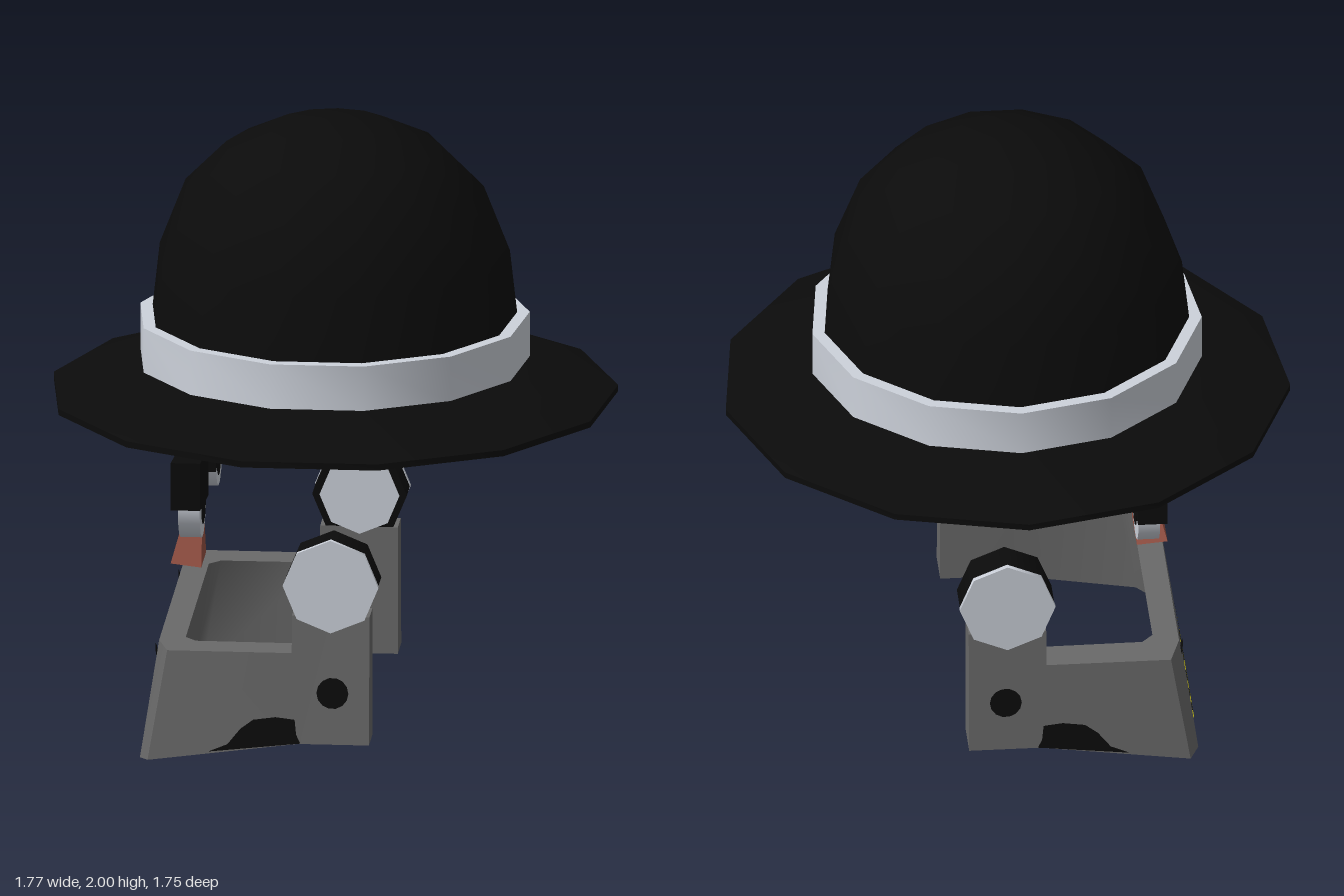
import * as THREE from 'three';
import { toCreasedNormals } from 'three/addons/utils/BufferGeometryUtils.js';

const mat = (name, color) => {
  const m = new THREE.MeshStandardMaterial({ color, side: THREE.DoubleSide });
  m.name = name;
  return m;
};

// Skin a list of equal closed cross-sections and cap both ends
function loft(sections, crease) {
  const pos = [];
  const tri = (...pts) => pts.forEach((p) => pos.push(...p));
  const n = sections[0].length;
  for (let i = 0; i < sections.length - 1; i++) {
    for (let j = 0; j < n; j++) {
      const k = (j + 1) % n;
      const a = sections[i][j], b = sections[i][k];
      const c = sections[i + 1][k], d = sections[i + 1][j];
      tri(a, d, c);
      tri(a, c, b);
    }
  }
  const s = sections[0], e = sections[sections.length - 1];
  for (let j = 1; j < n - 1; j++) {
    tri(s[0], s[j], s[j + 1]);
    tri(e[0], e[j + 1], e[j]);
  }
  const g = new THREE.BufferGeometry();
  g.setAttribute('position', new THREE.Float32BufferAttribute(pos, 3));
  return toCreasedNormals(g, crease);
}

// Thirteen-sided turned part
function turned(profile, crease) {
  const pts = profile.map(([r, y]) => new THREE.Vector2(r, y));
  return toCreasedNormals(new THREE.LatheGeometry(pts, 13, Math.PI), crease);
}

const shape = (pts) => new THREE.Shape(pts.map(([x, y]) => new THREE.Vector2(x, y)));

export function createModel() {
  const black = mat('black', 0x0b0b0b);
  const white = mat('offWhite', 0xcdd2db);
  const grey = mat('jawGrey', 0x6a6a6a);
  const red = mat('noseRed', 0x9a5446);
  const yellow = mat('stripeYellow', 0xb0a810);

  const model = new THREE.Group();
  const add = (name, geo, material, parent = model) => {
    const m = new THREE.Mesh(geo, material);
    m.name = name;
    parent.add(m);
    return m;
  };

  // Hat: dome, band and sloping brim
  const hat = new THREE.Group();
  hat.name = 'hat';
  model.add(hat);
  add('hatDome', turned([[0.575, 1.355], [0.552, 1.56], [0.47, 1.77], [0.34, 1.9], [0.18, 1.975], [0, 2]], 0.7), black, hat);
  add('hatBand', turned([[0.58, 1.215], [0.614, 1.215], [0.614, 1.36], [0.575, 1.36], [0.575, 1.2]], 0.6), white, hat);
  add('hatBrim', turned([[0.577, 1.2], [0.89, 1.1], [0.89, 1.12], [0.612, 1.217], [0.577, 1.217]], 0.6), black, hat);

  // Jaw: U-shaped bar; each section is outer top, outer bottom, inner bottom, inner top
  const half = [
    [[0.163, 0.54, 0.57], [0.163, 0.13, 0.59], [0.163, 0.13, 0.463], [0.163, 0.54, 0.463]],
    [[-0.08, 0.54, 0.57], [-0.06, 0.13, 0.59], [-0.06, 0.13, 0.463], [-0.08, 0.54, 0.463]],
    [[-0.08, 0.42, 0.576], [-0.06, 0.13, 0.59], [-0.06, 0.13, 0.463], [-0.08, 0.42, 0.463]],
    [[-0.47, 0.42, 0.576], [-0.53, 0.068, 0.593], [-0.45, 0.06, 0.475], [-0.39, 0.42, 0.46]],
    [[-0.505, 0.42, 0.46], [-0.563, 0.045, 0.485], [-0.487, 0.045, 0.455], [-0.425, 0.42, 0.42]],
  ];
  const chin = [[-0.505, 0.42, 0], [-0.57, 0, 0], [-0.49, 0, 0], [-0.425, 0.42, 0]];
  const mirrored = half.map((s) => s.map(([x, y, z]) => [x, y, -z])).reverse();
  add('jaw', loft([...half, chin, ...mirrored], 0.95), grey);

  // Hazard stripes on the chin, wrapping from the front onto the underside
  const frontX = (y) => -0.573 + 0.155 * y;
  const floorY = (z) => Math.abs(z) * 0.093;
  const w = 0.054, lean = 0.02, top = 0.125;
  for (let i = 0; i < 10; i++) {
    const z0 = (i - 5) * w, z1 = z0 + w;
    const strip = (z, zt) => {
      const y = floorY(z);
      return [
        [frontX(top), top, zt],
        [frontX(y), y - 0.002, z],
        [-0.488, y - 0.002, z],
      ];
    };
    const A = strip(z0, z0 + lean), B = strip(z1, z1 + lean);
    const pos = [];
    for (let k = 0; k < 2; k++) {
      pos.push(...A[k], ...A[k + 1], ...B[k + 1], ...A[k], ...B[k + 1], ...B[k]);
    }
    const g = new THREE.BufferGeometry();
    g.setAttribute('position', new THREE.Float32BufferAttribute(pos, 3));
    g.computeVertexNormals();
    add('chinStripe', g, i % 2 ? black : yellow);
  }

  // Nose: tapering wedge
  add('nose', loft([
    [[-0.437, 0.795, 0], [-0.5, 0.566, -0.1], [-0.5, 0.566, 0.1]],
    [[-0.407, 0.78, 0], [-0.405, 0.552, -0.09], [-0.405, 0.552, 0.09]],
  ], 0.1), red);

  for (const s of [1, -1]) {
    const side = s > 0 ? 'left' : 'right';

    // Eye with pupil
    const disc = (name, r, len, x, y, z, m) => {
      const d = add(name, new THREE.CylinderGeometry(r, r, len, 14), m);
      d.rotation.z = Math.PI / 2;
      d.position.set(x, y, z);
    };
    disc(side + 'Eye', 0.123, 0.068, -0.416, 0.837, s * 0.297, white);
    disc(side + 'Pupil', 0.077, 0.073, -0.4165, 0.828, s * 0.282, black);

    // Slanted brow
    const brow = add(side + 'Brow', new THREE.ExtrudeGeometry(
      shape([[s * 0.13, 0.8], [s * 0.447, 0.837], [s * 0.447, 0.99], [s * 0.13, 0.953]]),
      { depth: 0.092, bevelEnabled: false }), black);
    brow.rotation.y = -Math.PI / 2;
    brow.position.x = -0.378;

    // Octagonal hinge: black drum, white cap outside, white plate inside
    const drum = (name, r, len, z, m) => {
      const d = add(name, new THREE.CylinderGeometry(r, r, len, 8), m);
      d.rotation.x = Math.PI / 2;
      d.position.set(0.043, 0.642, s * z);
    };
    drum(side + 'HingeDrum', 0.148, 0.112, 0.521, black);
    drum(side + 'HingeCap', 0.15, 0.018, 0.586, white);
    drum(side + 'HingeInnerPlate', 0.125, 0.006, 0.463, white);

    // Dark patches on the jaw side
    const patch = (name, geo) => {
      const p = add(name, geo, black);
      p.rotation.x = -s * 0.0488;
      p.position.z = s * 0.599;
      return p;
    };
    patch(side + 'JawPatch', new THREE.ShapeGeometry(shape([
      [-0.34, 0.1], [-0.28, 0.125], [-0.24, 0.175], [-0.2, 0.205], [-0.13, 0.215],
      [-0.07, 0.208], [-0.065, 0.16], [-0.052, 0.132], [-0.09, 0.128],
    ])));
    const hole = new THREE.CircleGeometry(0.05, 14);
    hole.translate(0.048, 0.295, 0);
    patch(side + 'JawHole', hole);

    // Small bolt hole at the upper front corner
    const bolt = add(side + 'JawBolt', new THREE.CircleGeometry(0.028, 10), black);
    bolt.rotation.set(0, -Math.PI / 2, 0.153, 'ZYX');
    bolt.position.set(frontX(0.37), 0.37, s * 0.42);
  }
  return model;
}
